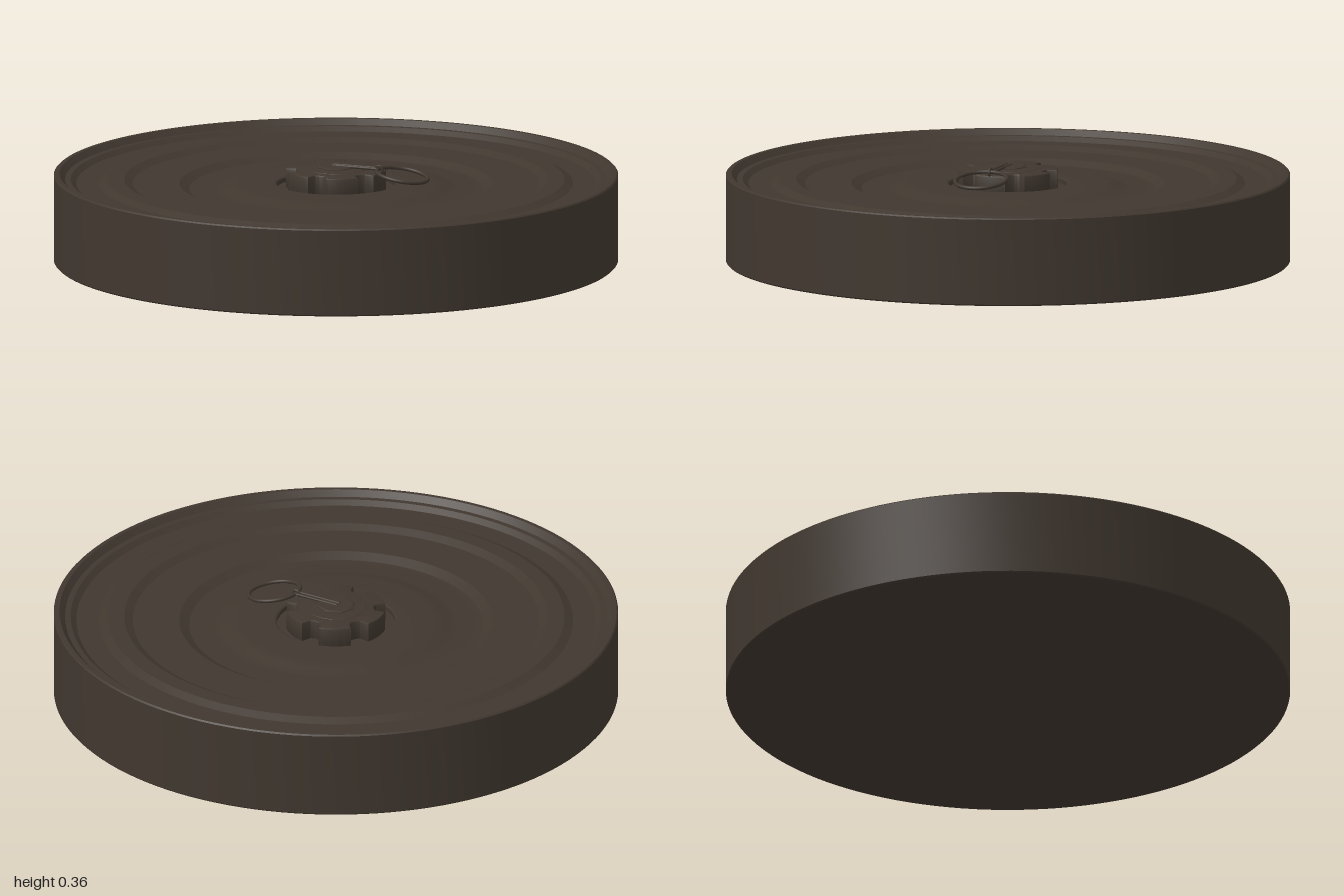
import * as THREE from 'three';
import { toCreasedNormals } from 'three/addons/utils/BufferGeometryUtils.js';

export function createModel() {
  const model = new THREE.Group();
  const paint = new THREE.MeshStandardMaterial({ color: 0x40372f });
  paint.name = 'dark olive brown paint';

  const add = (name, geometry, parent = model) => {
    const mesh = new THREE.Mesh(geometry, paint);
    mesh.name = name;
    parent.add(mesh);
    return mesh;
  };
  const turned = (profile, segments) => toCreasedNormals(
    new THREE.LatheGeometry(profile.map(([r, y]) => new THREE.Vector2(r, y)), segments), 0.4);

  // Drum with a stepped, ringed lid and a central well
  add('drum', turned([
    [0, 0], [0.995, 0], [1, 0.005], [1, 0.31], [0.995, 0.315],
    [0.98, 0.315], [0.96, 0.295], [0.94, 0.295], [0.92, 0.28],
    [0.84, 0.28], [0.81, 0.295], [0.75, 0.295], [0.72, 0.28],
    [0.555, 0.28], [0.52, 0.262], [0.43, 0.262], [0.41, 0.265],
    [0.385, 0.274], [0.36, 0.28], [0.34, 0.282], [0.217, 0.282],
    [0.21, 0.278], [0.21, 0.262], [0, 0.262],
  ], 128));

  // Six-lobed cap with rounded finger notches
  const outline = new THREE.Shape();
  const lobeHalf = 0.29, notchHalf = 0.2;
  const at = (r, a) => [r * Math.cos(a), r * Math.sin(a)];
  for (let i = 0; i < 6; i++) {
    const a = i * Math.PI / 3, notch = a + Math.PI / 6;
    if (i === 0) outline.moveTo(...at(0.17, a - lobeHalf));
    else outline.lineTo(...at(0.17, a - lobeHalf));
    outline.absarc(0, 0, 0.17, a - lobeHalf, a + lobeHalf, false);
    outline.lineTo(...at(0.138, notch - notchHalf));
    outline.quadraticCurveTo(...at(0.118, notch), ...at(0.138, notch + notchHalf));
  }
  outline.closePath();
  const capGeometry = new THREE.ExtrudeGeometry(outline, {
    depth: 0.066, bevelEnabled: true, bevelThickness: 0.007, bevelSize: 0.008,
    bevelSegments: 2, curveSegments: 8,
  });
  capGeometry.rotateX(-Math.PI / 2);
  add('lobedCap', toCreasedNormals(capGeometry, 0.5)).position.y = 0.26;

  // Low dome and central plug on the cap
  add('capDome', turned([[0.11, 0.328], [0.105, 0.334], [0.07, 0.339], [0, 0.341]], 48));
  add('centrePlug', turned([[0.07, 0.33], [0.07, 0.341], [0.062, 0.345], [0, 0.346]], 8));

  // Split pin: two parallel prongs
  for (const side of [-1, 1]) {
    const prong = add('pinProng', new THREE.CylinderGeometry(0.005, 0.005, 0.18, 10));
    prong.rotation.z = Math.PI / 2;
    prong.position.set(0.08, 0.345, side * 0.009);
  }
  const eye = add('pinEye', new THREE.TorusGeometry(0.013, 0.005, 8, 20));
  eye.position.set(0.165, 0.342, 0);

  // Pull ring, drooping outwards
  const ring = add('pullRing', new THREE.TorusGeometry(0.092, 0.007, 10, 64).rotateX(Math.PI / 2));
  ring.position.set(0.255, 0.329, 0);
  ring.rotation.z = -0.17;

  return model;
}
